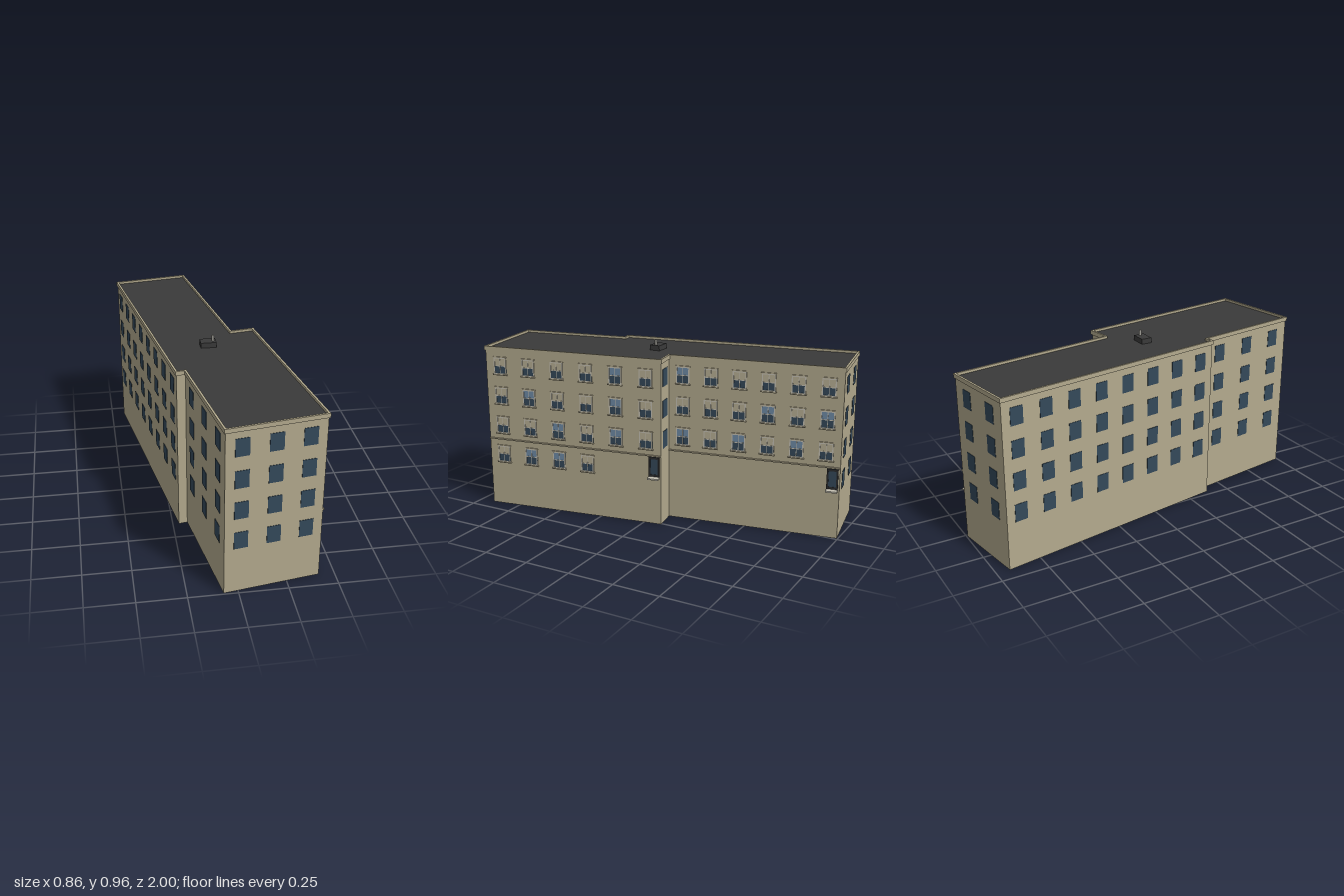
import * as THREE from 'three';

const mat = (name, color) => {
  const m = new THREE.MeshStandardMaterial({ color });
  m.name = name;
  return m;
};
const wall = mat('sandstone wall', 0xb3aa8e);
const roofDark = mat('dark roof', 0x3a3a3a);
const glass = mat('dark blue glass', 0x34495a);
const sky = mat('light blue glass', 0x6f8ba6);
const blind = mat('cream blind', 0xb9b096);
const trim = mat('pale frame', 0xc6c2b4);
const doorDark = mat('dark door frame', 0x2b2c2e);
const metal = mat('pipe metal', 0xa8a69e);

// Footprint corners (x, z) before turning, walked so the outside is on the right
const PLAN = [
  [-0.227, 0.969], [0.271, 0.969], [0.271, -0.056], [0.143, -0.056],
  [0.143, -0.984], [-0.274, -0.984], [-0.274, 0.342], [-0.227, 0.342],
];
const ROWS = [0.299, 0.468, 0.637, 0.806];   // window centre heights
const ROOF_Y = 0.9;

function box(parent, name, material, w, h, d, x, y, z) {
  const m = new THREE.Mesh(new THREE.BoxGeometry(w, h, d), material);
  m.name = name;
  m.position.set(x, y, z);
  parent.add(m);
  return m;
}

// Footprint moved outwards by d
function offsetPlan(d) {
  const n = PLAN.length;
  const normal = (i) => {
    const [ax, az] = PLAN[i % n], [bx, bz] = PLAN[(i + 1) % n];
    const l = Math.hypot(bx - ax, bz - az);
    return [-(bz - az) / l, (bx - ax) / l];
  };
  return PLAN.map(([x, z], i) => {
    const p = normal(i + n - 1), q = normal(i);
    return new THREE.Vector2(x + d * (p[0] + q[0]), -(z + d * (p[1] + q[1])));
  });
}

function extrudeUp(shape, y0, y1) {
  return new THREE.ExtrudeGeometry(shape, { depth: y1 - y0, bevelEnabled: false })
    .rotateX(-Math.PI / 2).translate(0, y0, 0);
}

// Group on wall i: x runs along the wall, z points outwards
function wallFace(parent, i, name) {
  const [ax, az] = PLAN[i], [bx, bz] = PLAN[(i + 1) % PLAN.length];
  const g = new THREE.Group();
  g.name = name;
  g.position.set(ax, 0, az);
  g.rotation.y = Math.atan2(-(bz - az), bx - ax);
  g.userData.length = Math.hypot(bx - ax, bz - az);
  parent.add(g);
  return g;
}

// Rows of flat window panes
function plainWindows(face, columns, rows) {
  const step = face.userData.length / columns;
  for (let c = 0; c < columns; c++)
    for (const y of rows)
      box(face, 'plainWindow', glass, 0.071, 0.094, 0.004, (c + 0.5) * step, y, 0);
}

// Sash window with frame, glazing bars, head and sill
function sashWindow(face, x, y, upper) {
  const g = new THREE.Group();
  g.name = 'sashWindow';
  g.position.set(x, y, 0);
  face.add(g);
  const w = 0.074, h = 0.094, t = 0.006;
  box(g, 'upperPane', upper, w, h / 2, 0.004, 0, h / 4, 0);
  box(g, 'lowerPane', glass, w, h / 2, 0.004, 0, -h / 4, 0);
  for (const s of [-1, 1]) {
    box(g, 'frameSide', trim, t, h, 0.01, s * (w - t) / 2, 0, 0);
    box(g, 'frameRail', trim, w, t, 0.01, 0, s * (h - t) / 2, 0);
  }
  box(g, 'meetingRail', trim, w, 0.004, 0.008, 0, 0, 0);
  box(g, 'glazingBar', trim, 0.003, h, 0.007, 0, 0, 0);
  box(g, 'windowHead', wall, w + 0.008, 0.005, 0.012, 0, h / 2 + 0.002, 0);
  box(g, 'windowSill', wall, w + 0.01, 0.006, 0.02, 0, -h / 2 - 0.002, 0);
}

// Pattern lines run from the bottom row up: c = cream blind, b = blue pane, . = none
function sashWindows(face, pattern) {
  pattern.forEach((line, r) => {
    const step = face.userData.length / line.length;
    [...line].forEach((k, c) => {
      if (k !== '.') sashWindow(face, (c + 0.5) * step, ROWS[r], k === 'b' ? sky : blind);
    });
  });
}

// String course and raised door with its landing
function beltAndDoor(face) {
  const L = face.userData.length, x = L - 0.038;
  box(face, 'stringCourse', wall, L, 0.007, 0.016, L / 2, 0.386, 0);
  box(face, 'doorGlass', glass, 0.045, 0.1, 0.006, x, 0.322, 0);
  for (const s of [-1, 1])
    box(face, 'doorJamb', doorDark, 0.009, 0.11, 0.014, x + s * 0.025, 0.324, 0);
  box(face, 'doorHead', doorDark, 0.059, 0.012, 0.014, x, 0.374, 0);
  box(face, 'doorRail', doorDark, 0.05, 0.012, 0.01, x, 0.276, 0);
  box(face, 'doorLanding', trim, 0.06, 0.008, 0.035, x, 0.264, 0.0175);
}

export function createModel() {
  const model = new THREE.Group();
  model.name = 'apartmentBlock';
  const building = new THREE.Group();
  building.name = 'building';
  building.rotation.y = THREE.MathUtils.degToRad(9);
  model.add(building);

  // Walls with dark roof and underside
  const body = new THREE.Mesh(
    extrudeUp(new THREE.Shape(offsetPlan(0)), 0, ROOF_Y), [roofDark, wall]);
  body.name = 'walls';
  building.add(body);

  // Cornice and parapet ring
  const ring = new THREE.Shape(offsetPlan(0.006));
  ring.holes.push(new THREE.Path(offsetPlan(-0.005)));
  const cornice = new THREE.Mesh(extrudeUp(ring, 0.89, 0.913), wall);
  cornice.name = 'cornice';
  building.add(cornice);

  // Plain windows on the ends, the step and the long left side
  plainWindows(wallFace(building, 0, 'frontFace'), 3, ROWS);
  plainWindows(wallFace(building, 2, 'stepFace'), 1, ROWS.slice(1));
  plainWindows(wallFace(building, 4, 'backFace'), 2, ROWS);
  plainWindows(wallFace(building, 5, 'rearSideFace'), 8, ROWS);
  plainWindows(wallFace(building, 7, 'frontSideFace'), 3, ROWS);

  // Street side with sash windows
  const streetFront = wallFace(building, 1, 'streetFrontFace');
  sashWindows(streetFront, ['cbbc..', 'ccbcbc', 'cbccbc', 'ccccbc']);
  beltAndDoor(streetFront);
  const streetRear = wallFace(building, 3, 'streetRearFace');
  sashWindows(streetRear, ['......', 'bcbcbc', 'cccbcb', 'bccccc']);
  beltAndDoor(streetRear);

  // Roof unit and vent pipe
  box(model, 'roofUnit', roofDark, 0.083, 0.028, 0.058, -0.012, 0.914, 0.068);
  const pipe = new THREE.Mesh(new THREE.CylinderGeometry(0.007, 0.007, 0.06, 12), metal);
  pipe.name = 'ventPipe';
  pipe.position.set(0.014, 0.928, 0.068);
  model.add(pipe);
  return model;
}
